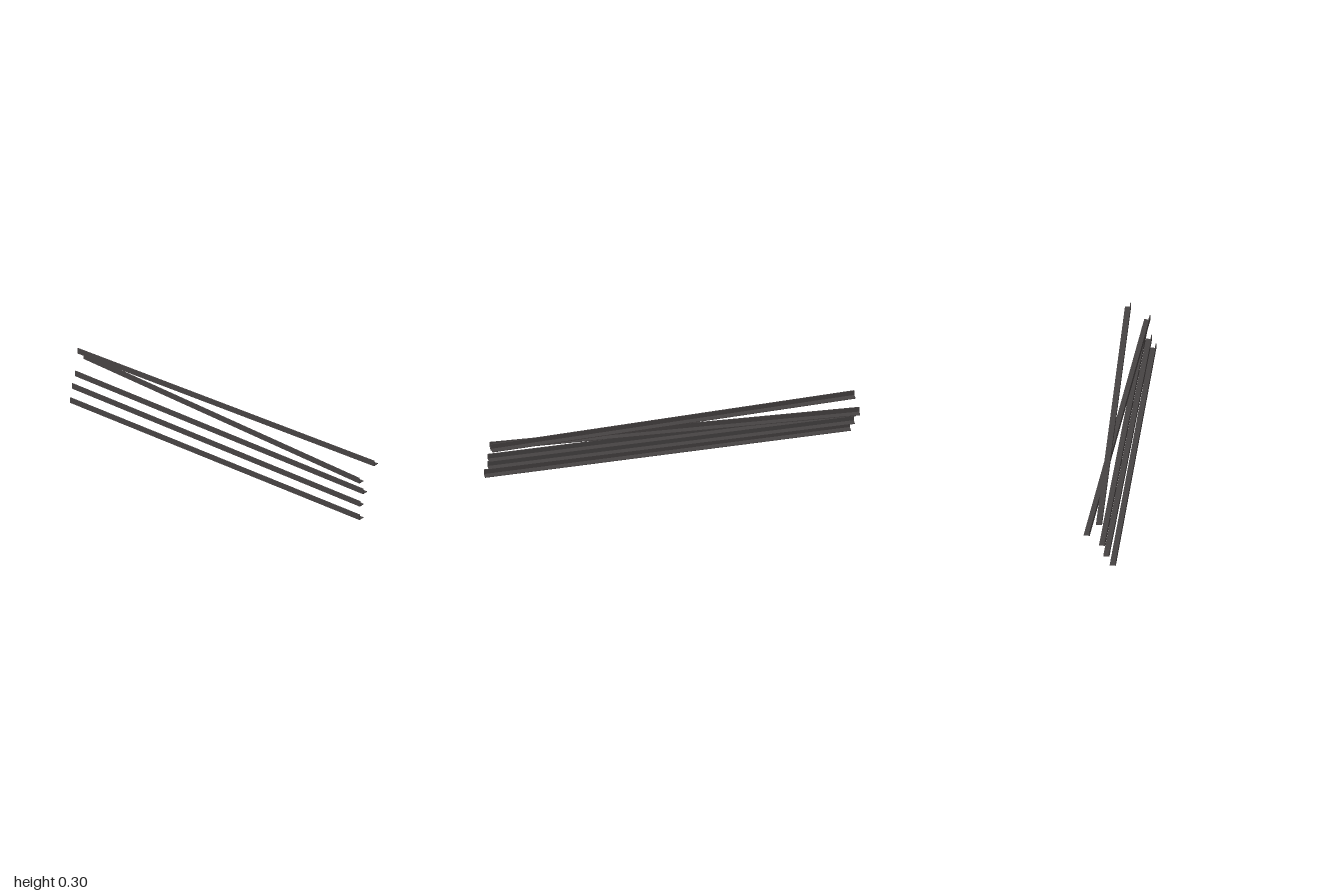
import * as THREE from 'three';

const LENGTH = 1.975, LEG = 0.0325, THICK = 0.004;

// L-shaped section extruded along x: upright leg at the front, flat leg running back
function angleBarGeometry() {
  const s = new THREE.Shape();
  s.moveTo(0, 0);
  s.lineTo(LEG, 0);
  s.lineTo(LEG, THICK);
  s.lineTo(THICK, THICK);
  s.lineTo(THICK, LEG);
  s.lineTo(0, LEG);
  s.closePath();
  const g = new THREE.ExtrudeGeometry(s, { depth: LENGTH, bevelEnabled: false });
  g.translate(0, 0, -LENGTH / 2);
  g.rotateY(Math.PI / 2);
  return g;
}

export function createModel() {
  const model = new THREE.Group();
  model.name = 'angleBars';
  const steel = new THREE.MeshStandardMaterial({ color: 0x474343 });
  steel.name = 'darkSteel';
  const geometry = angleBarGeometry();

  // centre x, base y, front-face z at the -x end and at the +x end
  const bars = [
    [0.011, 0.0, 0.089, 0.077],
    [-0.004, 0.067, 0.0565, 0.056],
    [-0.001, 0.1335, 0.0335, 0.033],
    [-0.0135, 0.2, -0.047, 0.048],
    [0.001, 0.265, 0.017, -0.056],
  ];
  bars.forEach(([x, y, zLeft, zRight], i) => {
    const bar = new THREE.Mesh(geometry, steel);
    bar.name = `angleBar${i + 1}`;
    bar.position.set(x, y, (zLeft + zRight) / 2);
    bar.rotation.y = Math.asin((zLeft - zRight) / LENGTH);
    model.add(bar);
  });
  return model;
}
